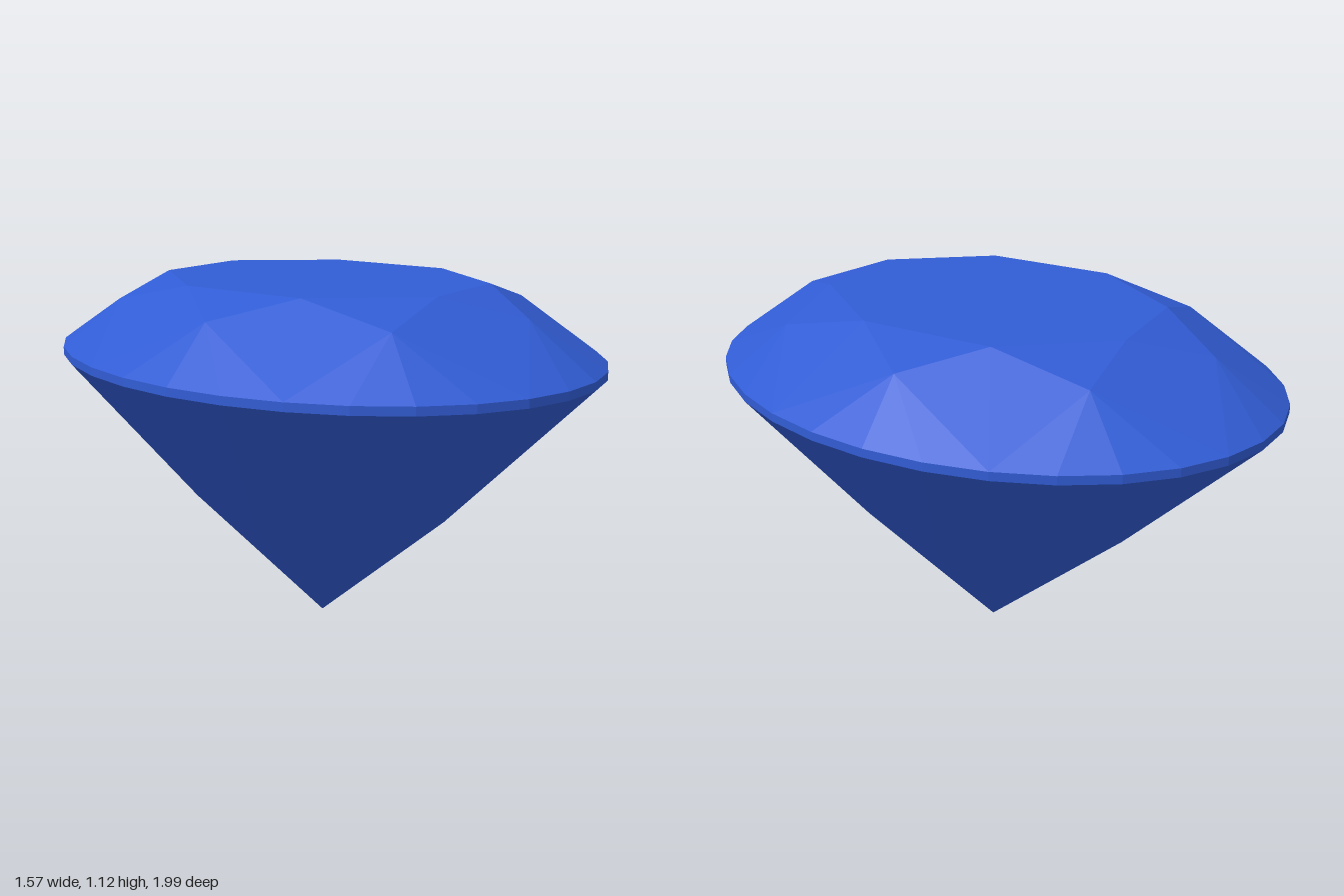
import * as THREE from 'three';

// Oval brilliant-cut gem: eightfold facets on an ellipse turned slightly about y
const LONG = 1.0025, SHORT = 0.782, TURN = THREE.MathUtils.degToRad(6.2);
const TABLE_Y = 1.115, TOP_Y = 0.9, LOW_Y = 0.875;
const TABLE_R = 0.6, CROWN_R = 0.778, PAVILION_R = 0.5;
const HALF = Math.cos(Math.PI / 8);

// Point at a fraction r of the oval, at a given angle from its long axis
function at(r, deg, y) {
  const t = THREE.MathUtils.degToRad(deg), s = Math.sin(TURN), c = Math.cos(TURN);
  const l = LONG * r * Math.cos(t), w = SHORT * r * Math.sin(t);
  return [l * s + w * c, y, -l * c + w * s];
}

// Mesh from convex polygons, each cut as a fan, with hard facet edges
function facets(name, polygons, material) {
  const pos = [];
  for (const p of polygons)
    for (let i = 1; i < p.length - 1; i++) pos.push(...p[0], ...p[i], ...p[i + 1]);
  const geo = new THREE.BufferGeometry();
  geo.setAttribute('position', new THREE.Float32BufferAttribute(pos, 3));
  geo.computeVertexNormals();
  const mesh = new THREE.Mesh(geo, material);
  mesh.name = name;
  return mesh;
}

export function createModel() {
  const blue = new THREE.MeshStandardMaterial({ color: 0x315cd4 });
  blue.name = 'sapphire blue';

  // Inner junctions lie in the planes of the main facets
  const crownY = TABLE_Y - (TABLE_Y - TOP_Y) * (CROWN_R * HALF - TABLE_R) / (1 - TABLE_R);
  const pavilionY = LOW_Y * PAVILION_R * HALF;
  const table = (a) => at(TABLE_R, a, TABLE_Y);
  const crown = (a) => at(CROWN_R, a, crownY);
  const pavilion = (a) => at(PAVILION_R, a, pavilionY);
  const top = (a) => at(1, a, TOP_Y);
  const low = (a) => at(1, a, LOW_Y);
  const culet = [0, 0, 0];

  const tableFace = [], stars = [], bezels = [], upperHalves = [];
  const mains = [], lowerHalves = [], girdle = [];
  for (let k = 0; k < 8; k++) {
    const a = k * 45, m = a + 22.5;
    const steps = [0, 1, 2, 3, 4].map((i) => a + i * 11.25);
    tableFace.unshift(table(a));
    stars.push([table(a + 45), crown(m), table(a)]);
    bezels.push([table(a), crown(m), top(a), crown(a - 22.5)]);
    upperHalves.push([crown(m), ...steps.map(top).reverse()]);
    mains.push([culet, pavilion(a - 22.5), low(a), pavilion(m)]);
    lowerHalves.push([pavilion(m), ...steps.map(low)]);
    for (let i = 0; i < 4; i++) {
      const b = steps[i], c = steps[i + 1];
      girdle.push([low(b), top(b), top(c), low(c)]);
    }
  }

  const gem = new THREE.Group();
  gem.name = 'ovalGem';
  gem.add(
    facets('table', [tableFace], blue),
    facets('starFacets', stars, blue),
    facets('bezelFacets', bezels, blue),
    facets('upperGirdleFacets', upperHalves, blue),
    facets('girdle', girdle, blue),
    facets('lowerGirdleFacets', lowerHalves, blue),
    facets('pavilionMains', mains, blue)
  );
  return gem;
}
